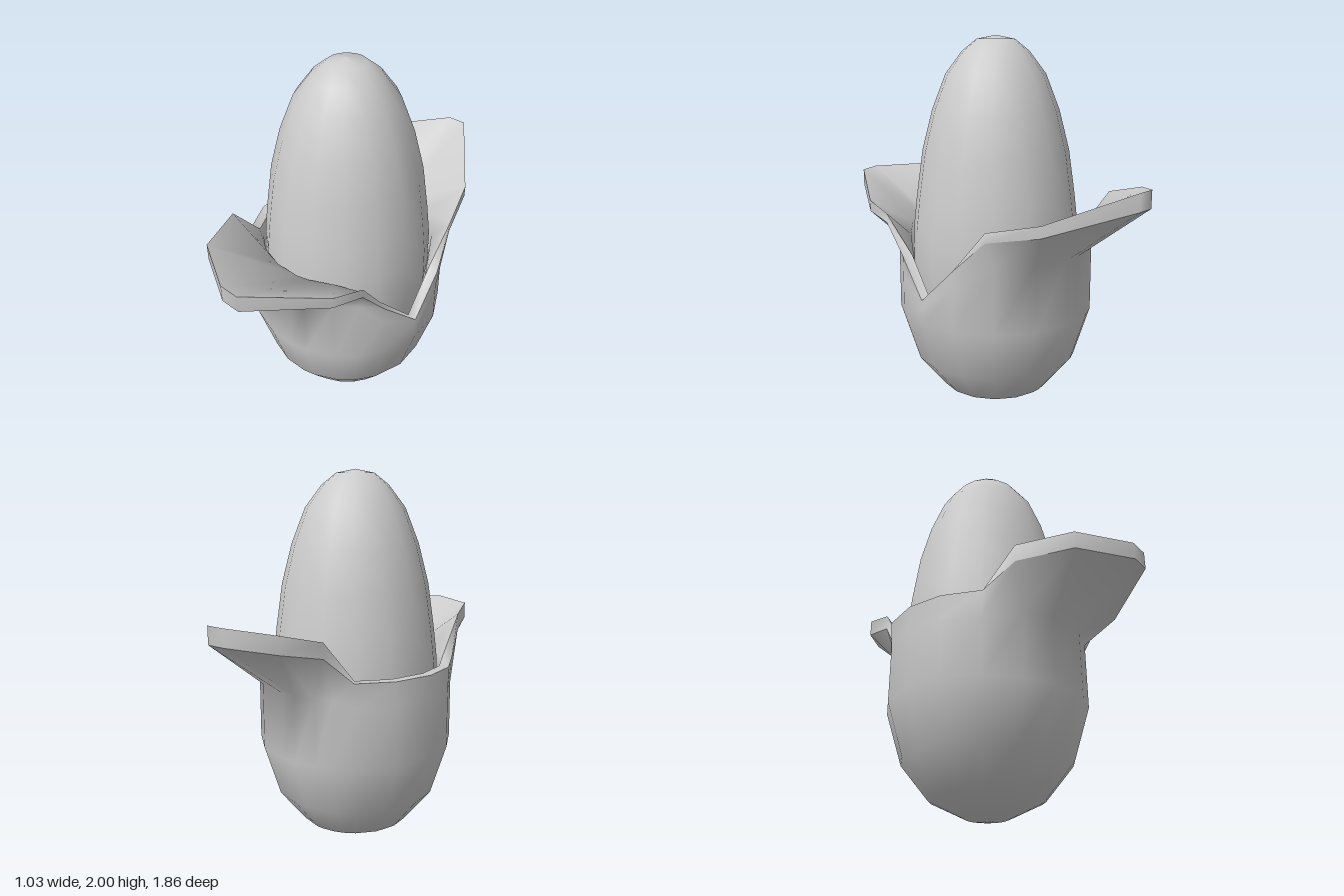
import * as THREE from 'three';

const material = new THREE.MeshStandardMaterial({ color: 0xcccccc, side: THREE.DoubleSide });

// Husk columns: base angle in degrees (from +x towards +z), rim point x, y, z, thickness of the lip
const columns = [
  [11.25, 0.515, 0.69, 0.10, 0], [33.75, 0.435, 0.87, 0.29, 0],
  // front flap
  [48, 0.40, 1.08, 0.43, 0.05], [62, 0.345, 1.12, 0.60, 0.06],
  [79, 0.06, 1.22, 0.925, 0.09], [88, -0.04, 1.23, 0.92, 0.09],
  [105, -0.30, 1.23, 0.74, 0.09], [123.75, -0.39, 1.215, 0.46, 0.09],
  // low side
  [146.25, -0.435, 1.0, 0.30, 0], [168.75, -0.515, 1.0, 0.10, 0],
  [191.25, -0.515, 1.0, -0.10, 0], [213.75, -0.435, 1.0, -0.30, 0],
  [236.25, -0.285, 1.0, -0.445, 0],
  // back flap
  [249, -0.20, 1.215, -0.575, 0.08], [258.75, -0.12, 1.275, -0.79, 0.09],
  [272, 0.09, 1.31, -0.93, 0.09], [281.25, 0.19, 1.31, -0.92, 0.09],
  [303.75, 0.42, 1.15, -0.54, 0.06], [326.25, 0.48, 1.09, -0.27, 0.05],
  [348.75, 0.515, 0.88, -0.10, 0],
];

// Joins closed rings of points into one smooth surface
function loft(rings, name) {
  const n = rings[0].length;
  const index = [];
  for (let i = 0; i < rings.length - 1; i++) {
    for (let j = 0; j < n; j++) {
      const k = (j + 1) % n;
      const a = i * n + j, b = i * n + k, c = a + n, d = b + n;
      index.push(a, c, b, b, c, d);
    }
  }
  const geometry = new THREE.BufferGeometry();
  geometry.setAttribute('position', new THREE.Float32BufferAttribute(rings.flat(2), 3));
  geometry.setIndex(index);
  geometry.computeVertexNormals();
  const mesh = new THREE.Mesh(geometry, material);
  mesh.name = name;
  return mesh;
}

// Ring around the axis; radius and height may depend on the column
const ring = (radius, height) => columns.map((c) => {
  const a = THREE.MathUtils.degToRad(c[0]);
  return [radius * Math.cos(a), height(c), radius * Math.sin(a)];
});

function createHusk() {
  const husk = new THREE.Group();
  husk.name = 'husk';

  const bowl = [[0.001, 0], [0.11, 0.015], [0.295, 0.105], [0.44, 0.285], [0.525, 0.56]]
    .map(([r, y]) => ring(r, () => y));
  const shoulder = ring(0.523, (c) => Math.min(0.91, 0.56 + (c[2] - 0.56) * 0.7));
  const lowerRim = columns.map(([, x, y, z, t]) => [x, y - t, z]);
  // Flaps have an upright lip, the rest of the rim is a flat ledge
  const upperRim = columns.map(([, x, y, z, t]) => (t ? [x, y, z] : [x * 0.9, y, z * 0.9]));
  const throat = ring(0.46, (c) => (c[4] ? Math.min(1.0, c[2] - 0.12) : c[2] - 0.05));
  const pocket = ring(0.44, () => 0.6);

  husk.add(loft([...bowl, shoulder, lowerRim], 'huskOuterWall'));
  husk.add(loft([lowerRim, upperRim], 'huskRim'));
  husk.add(loft([upperRim, throat, pocket], 'huskInnerWall'));
  return husk;
}

function createNut() {
  const profile = [
    [0, 0.12], [0.2, 0.17], [0.34, 0.32], [0.42, 0.54], [0.45, 0.8], [0.445, 1.0],
    [0.425, 1.17], [0.39, 1.41], [0.335, 1.62], [0.262, 1.805], [0.175, 1.92], [0.1, 1.98], [0, 2],
  ].map(([r, y]) => new THREE.Vector2(r, y));
  const nut = new THREE.Mesh(new THREE.LatheGeometry(profile, 16, Math.PI / 16), material);
  nut.name = 'nut';
  return nut;
}

export function createModel() {
  const model = new THREE.Group();
  model.name = 'huskedNut';
  model.add(createNut(), createHusk());
  return model;
}
